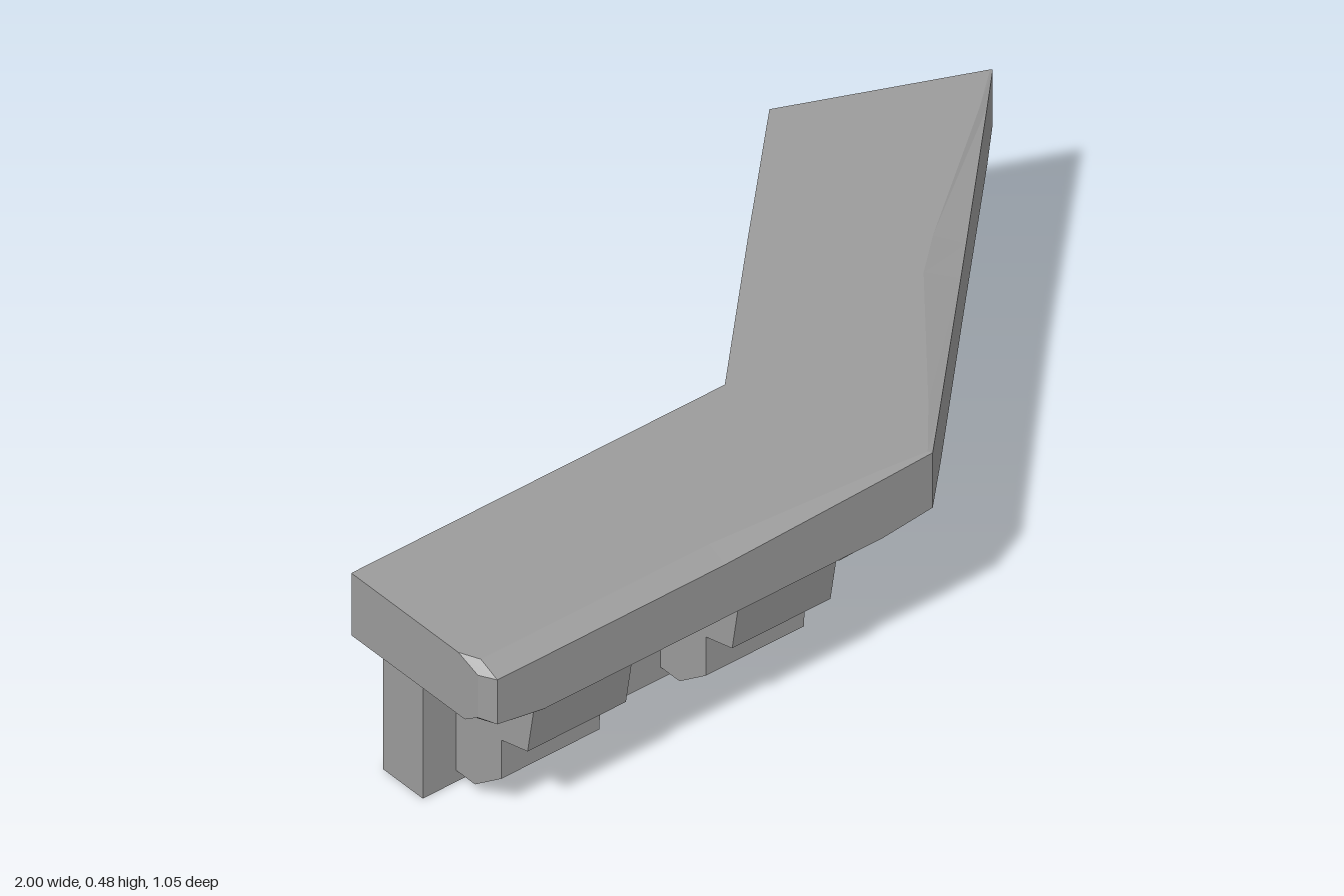
import * as THREE from 'three';

const material = new THREE.MeshStandardMaterial({ color: 0x9c9c9c, flatShading: true, side: THREE.DoubleSide });

const extrude = (points, depth) => new THREE.ExtrudeGeometry(
  new THREE.Shape(points.map(([x, y]) => new THREE.Vector2(x, y))), { depth, bevelEnabled: false });

// Skins a row of closed cross-sections and caps both ends.
function loft(sections) {
  const pos = [];
  const tri = (...p) => p.forEach((q) => pos.push(...q));
  const n = sections[0].length;
  for (let i = 0; i < sections.length - 1; i++) {
    const a = sections[i], b = sections[i + 1];
    for (let j = 0; j < n; j++) {
      const k = (j + 1) % n;
      tri(a[j], a[k], b[k]);
      tri(a[j], b[k], b[j]);
    }
  }
  const first = sections[0], last = sections[sections.length - 1];
  for (let j = 1; j < n - 1; j++) {
    tri(first[0], first[j + 1], first[j]);
    tri(last[0], last[j], last[j + 1]);
  }
  const geo = new THREE.BufferGeometry();
  geo.setAttribute('position', new THREE.Float32BufferAttribute(pos, 3));
  geo.computeVertexNormals();
  return geo;
}

export function createModel() {
  const group = new THREE.Group();
  const add = (name, geo) => {
    const mesh = new THREE.Mesh(geo, material);
    mesh.name = name;
    group.add(mesh);
    return mesh;
  };

  // Bent wall under the slab
  const plan = [[-0.96, 0.272], [0.01, 0.272], [0.733, -0.447], [0.617, -0.497], [-0.03, 0.15], [-0.96, 0.15]];
  const wall = extrude(plan.map(([x, z]) => [x, -z]), 0.33);
  wall.rotateX(-Math.PI / 2);
  add('wall', wall);

  // Top slab with worn front edges:
  // back [x,z], top inner [x,z], front [x,z], bottom inner [x,z], front upper y, front lower y
  const top = 0.476, bottom = 0.322;
  const stations = [
    [[-1, 0.10], [-1, 0.43], [-1, 0.49], [-1, 0.45], 0.455, 0.35],
    [[-0.98, 0.10], [-0.98, 0.475], [-0.98, 0.526], [-0.98, 0.46], 0.455, 0.345],
    [[-0.86, 0.10], [-0.86, 0.475], [-0.86, 0.526], [-0.86, 0.523], 0.455, 0.325],
    [[-0.4, 0.10], [-0.4, 0.475], [-0.4, 0.526], [-0.4, 0.523], 0.456, 0.325],
    [[-0.08, 0.10], [0, 0.505], [0, 0.526], [0, 0.523], 0.469, 0.325],
    [[-0.05, 0.10], [0.12, 0.519], [0.127, 0.526], [0.105, 0.49], 0.474, 0.338],
    [[0.06, -0.01], [0.22, 0.40], [0.245, 0.408], [0.242, 0.405], 0.468, 0.325],
    [[0.20, -0.15], [0.48, 0.07], [0.54, 0.112], [0.537, 0.109], 0.456, 0.325],
    [[0.28, -0.23], [0.57, -0.01], [0.62, 0.032], [0.617, 0.029], 0.456, 0.325],
    [[0.52, -0.467], [0.90, -0.267], [0.92, -0.267], [0.917, -0.27], 0.469, 0.325],
    [[0.58, -0.526], [0.995, -0.349], [1, -0.347], [0.96, -0.364], 0.474, 0.34],
  ];
  add('slab', loft(stations.map(([b, t, f, u, yUp, yLow]) => [
    [b[0], bottom, b[1]], [b[0], top, b[1]], [t[0], top, t[1]],
    [f[0], yUp, f[1]], [f[0], yLow, f[1]], [u[0], bottom, u[1]],
  ])));

  // Stepped brackets, two on each wing
  const bracket = extrude([[-0.02, 0.028], [0.058, 0.028], [0.139, 0.09], [0.14, 0.186],
    [0.22, 0.206], [0.24, 0.325], [-0.02, 0.325]], 0.25);
  for (const x of [-0.105, -0.625]) {
    const mesh = add('leftWingBracket', bracket);
    mesh.position.set(x, 0, 0.272);
    mesh.rotation.y = -Math.PI / 2;
  }
  for (const s of [0.366, 0.92]) {
    const mesh = add('rightWingBracket', bracket);
    mesh.position.set(0.01 + s * Math.SQRT1_2, 0, 0.272 - s * Math.SQRT1_2);
    mesh.rotation.y = -Math.PI / 4;
  }
  return group;
}
